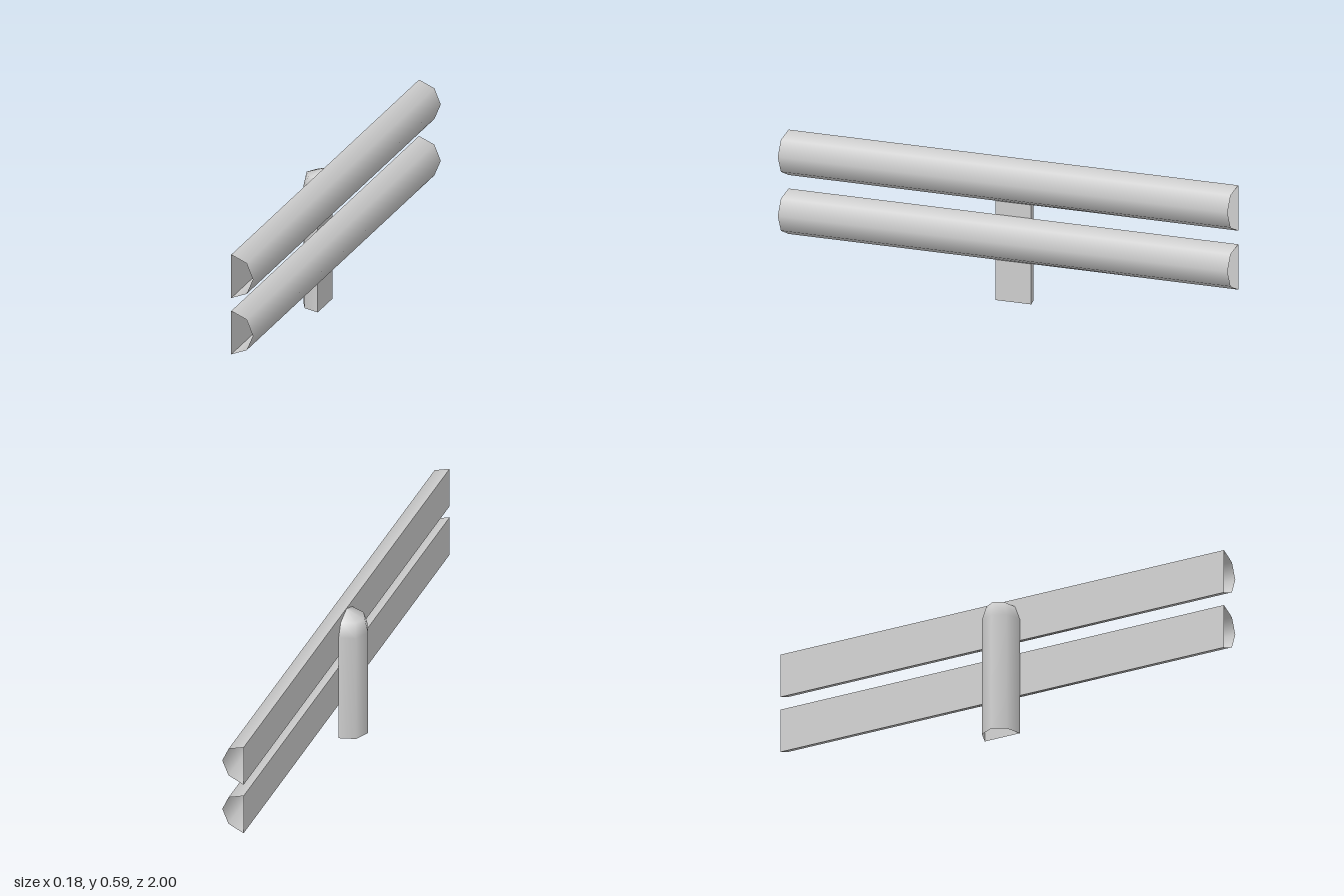
import * as THREE from 'three';

const R = 0.092; // radius of the half-round timbers

export function createModel() {
  const model = new THREE.Group();
  const grey = new THREE.MeshStandardMaterial({ color: 0xcccccc, side: THREE.DoubleSide });
  grey.name = 'grey';

  const add = (parent, name, geometry) => {
    const mesh = new THREE.Mesh(geometry, grey);
    mesh.name = name;
    parent.add(mesh);
  };

  // Two half-round rails with open ends and a flat back
  [['upperRail', 0.495], ['lowerRail', 0.256]].forEach(([name, y]) => {
    const rail = new THREE.Group();
    rail.name = name;
    rail.position.y = y;
    add(rail, name + 'Round', new THREE.CylinderGeometry(R, R, 2, 4, 1, true, 0, Math.PI).rotateX(Math.PI / 2));
    add(rail, name + 'Back', new THREE.PlaneGeometry(2, 2 * R).rotateY(-Math.PI / 2));
    model.add(rail);
  });

  // Half-round post behind the rails: height, depth in x, half width in z
  const rows = [[0, R, 0.079], [0.495, R, 0.079], [0.556, 0.0786, 0.057], [0.585, 0, 0]];
  const post = new THREE.Group();
  post.name = 'post';

  // Rounded side, narrowed in z row by row
  const round = new THREE.LatheGeometry(rows.map(([y, x]) => new THREE.Vector2(x, y)), 4, Math.PI, Math.PI);
  const p = round.attributes.position;
  for (let i = 0; i < p.count; i++) {
    const [, x, z] = rows[i % rows.length];
    if (x > 0) p.setZ(i, p.getZ(i) * z / x);
  }
  add(post, 'postRound', round);

  // Flat side towards the rails, with the same domed outline
  const outline = [
    ...rows.map(([y, , z]) => new THREE.Vector2(z, y)),
    ...rows.slice(0, -1).reverse().map(([y, , z]) => new THREE.Vector2(-z, y)),
  ];
  add(post, 'postFlat', new THREE.ShapeGeometry(new THREE.Shape(outline)).rotateY(Math.PI / 2));
  model.add(post);

  return model;
}
